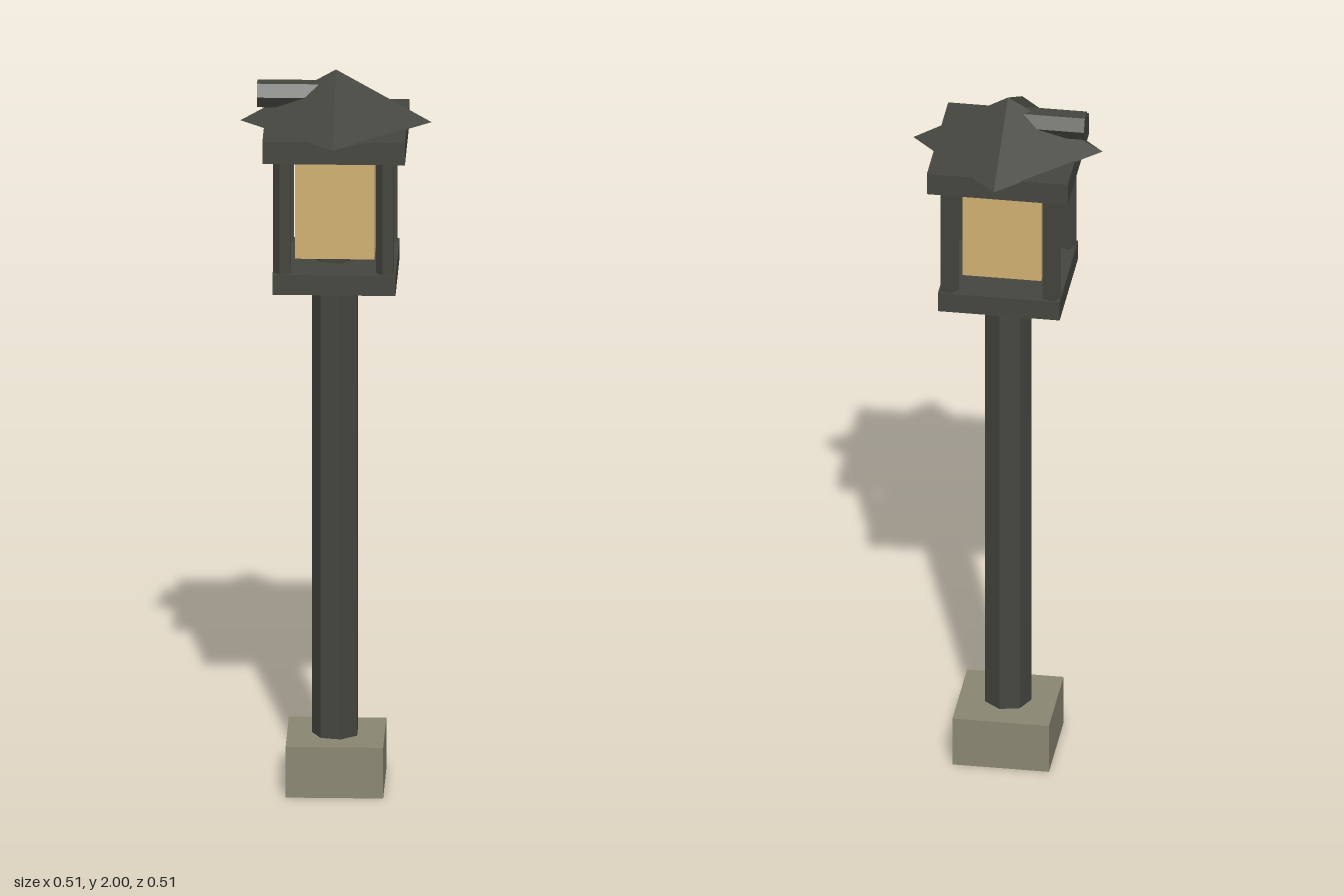
import * as THREE from 'three';

export function createModel() {
  const group = new THREE.Group();
  group.name = 'lanternPost';

  const material = (name, color) => {
    const m = new THREE.MeshStandardMaterial({ color });
    m.name = name;
    return m;
  };
  const iron = material('darkIron', 0x45463f);
  const stone = material('stone', 0x8a8772);
  const glow = material('warmGlass', 0xd2b173);

  const add = (name, geometry, mat, x, y, z) => {
    const mesh = new THREE.Mesh(geometry, mat);
    mesh.name = name;
    mesh.position.set(x, y, z);
    group.add(mesh);
    return mesh;
  };
  // Square slab between two heights
  const slab = (name, half, y0, y1, mat) =>
    add(name, new THREE.BoxGeometry(half * 2, y1 - y0, half * 2), mat, 0, (y0 + y1) / 2, 0);
  // Faceted upright rod with one corner pointing to -x
  const rod = (name, r, sides, y0, y1, x, z) => {
    const g = new THREE.CylinderGeometry(r, r, y1 - y0, sides).toNonIndexed();
    g.rotateY(-Math.PI / 2);
    g.computeVertexNormals();
    return add(name, g, iron, x, (y0 + y1) / 2, z);
  };

  // Footing and seven-sided post, which runs up through the lantern
  slab('footing', 0.13, 0, 0.142, stone);
  rod('post', 0.0635, 7, 0.13, 1.81, 0, 0);

  // Lantern: floor, glowing block, corner bars and eave
  slab('lanternFloor', 0.164, 1.42, 1.476, iron);
  slab('lanternGlass', 0.106, 1.503, 1.778, glow);
  for (const x of [-1, 1]) {
    for (const z of [-1, 1]) {
      rod('cornerBar', 0.026, 5, 1.47, 1.80, x * 0.1375, z * 0.1375);
    }
  }
  slab('eave', 0.19, 1.795, 1.857, iron);

  // Pyramid roof, corners on the x and z axes
  const roofGeometry = new THREE.ConeGeometry(0.255, 0.145, 4).toNonIndexed();
  roofGeometry.computeVertexNormals();
  add('roof', roofGeometry, iron, 0, 1.9275, 0);

  // Six-sided stub pipe lying along x, its inner end buried in the roof
  const pipeGeometry = new THREE.CylinderGeometry(0.038, 0.038, 0.21, 6).toNonIndexed();
  pipeGeometry.rotateZ(Math.PI / 2);
  pipeGeometry.computeVertexNormals();
  add('roofPipe', pipeGeometry, iron, -0.105, 1.931, 0);

  return group;
}
